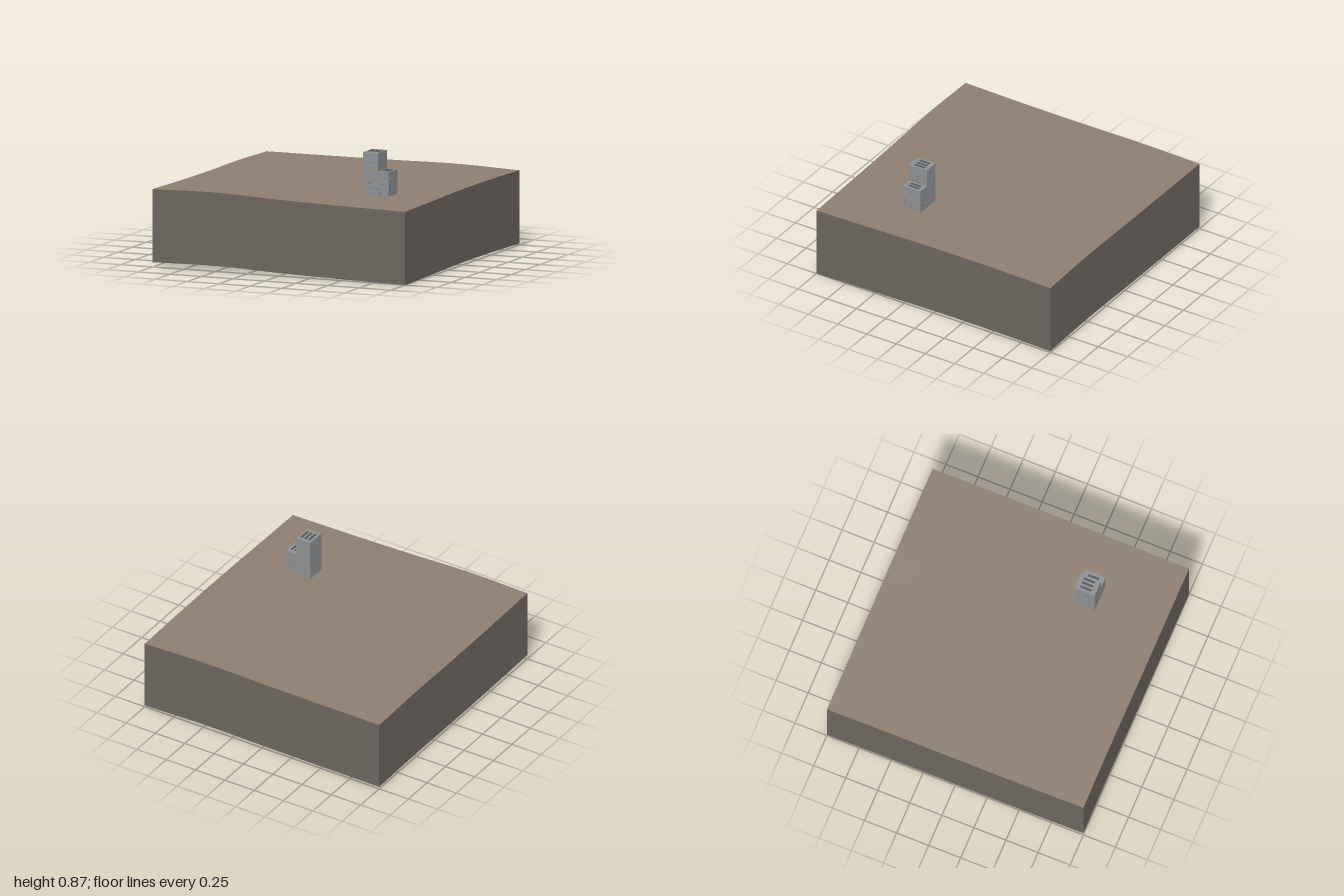
import * as THREE from 'three';

const mat = (name, color, side = THREE.FrontSide) => {
  const m = new THREE.MeshStandardMaterial({ color, side });
  m.name = name;
  return m;
};

const DEPTH = 0.535; // skirt height below the ground surface

// Sampled ground heights: rows run z = -1..1, columns x = -1..1
const HEIGHTS = [
  [0.552, 0.553, 0.556, 0.561, 0.546],
  [0.561, 0.558, 0.554, 0.557, 0.554],
  [0.558, 0.557, 0.553, 0.552, 0.554],
  [0.561, 0.560, 0.553, 0.547, 0.545],
  [0.570, 0.577, 0.558, 0.545, 0.536],
];

// Catmull-Rom interpolation along one row of samples
function spline(v, t) {
  const s = Math.min(Math.max((t + 1) * 2, 0), 4);
  const i = Math.min(Math.floor(s), 3), f = s - i;
  const b = v[i], c = v[i + 1];
  const a = i > 0 ? v[i - 1] : 2 * b - c;
  const d = i < 3 ? v[i + 2] : 2 * c - b;
  return b + 0.5 * f * (c - a + f * (2 * a - 5 * b + 4 * c - d + f * (3 * (b - c) + d - a)));
}
const groundHeight = (x, z) => spline(HEIGHTS.map((row) => spline(row, x)), z);

export function createModel() {
  const model = new THREE.Group();
  model.name = 'terrainTile';
  const soil = mat('soil', 0x8d7f71, THREE.DoubleSide);
  const earth = mat('earthSide', 0x6d6660, THREE.DoubleSide);
  const concrete = mat('concrete', 0x8d9194);
  const ventDark = mat('vent', 0x55585a);
  const litWindow = mat('litWindow', 0xc98a45);
  const dimWindow = mat('dimWindow', 0x5f7488);

  const add = (parent, name, geometry, material, x = 0, y = 0, z = 0) => {
    const mesh = new THREE.Mesh(geometry, material);
    mesh.name = name;
    mesh.position.set(x, y, z);
    parent.add(mesh);
    return mesh;
  };

  // Gently rolling ground
  const ground = new THREE.PlaneGeometry(2, 2, 32, 32).rotateX(-Math.PI / 2);
  const gp = ground.attributes.position;
  for (let i = 0; i < gp.count; i++) gp.setY(i, groundHeight(gp.getX(i), gp.getZ(i)));
  ground.computeVertexNormals();
  add(model, 'ground', ground, soil);

  // Four skirt walls, open underneath, following the ground edge
  ['front', 'left', 'back', 'right'].forEach((side, k) => {
    const wall = new THREE.PlaneGeometry(2, 1, 32, 1).translate(0, 0, 1).rotateY(k * Math.PI / 2);
    const p = wall.attributes.position;
    for (let i = 0; i < p.count; i++) {
      const h = groundHeight(p.getX(i), p.getZ(i));
      p.setY(i, p.getY(i) > 0 ? h : h - DEPTH);
    }
    add(model, side + 'Skirt', wall, earth);
  });

  // Small building made of two blocks
  let seed = 7;
  const random = () => (seed = (seed * 16807) % 2147483647) / 2147483647;
  const z0 = 0.34, z1 = 0.495, base = 0.54;
  const building = new THREE.Group();
  building.name = 'building';
  model.add(building);

  const pane = new THREE.BoxGeometry(0.009, 0.006, 0.002);
  const ROWS = [0.572, 0.603, 0.635, 0.68, 0.74, 0.79];

  // Row of window panes across one face
  function windows(name, from, to, y, place) {
    const n = Math.round((to - from) / 0.02);
    for (let i = 0; i < n; i++) {
      const material = random() < 0.6 ? litWindow : dimWindow;
      const mesh = add(building, name, pane, material);
      place(mesh, from + (to - from) * (i + 0.5) / n, y);
    }
  }

  function block(name, x0, x1, top, vents) {
    const cx = (x0 + x1) / 2, cz = (z0 + z1) / 2, w = x1 - x0, d = z1 - z0;
    add(building, name, new THREE.BoxGeometry(w, top - base, d), concrete, cx, (top + base) / 2, cz);
    // Roof vents
    for (const x of vents) {
      add(building, name + 'Vent', new THREE.BoxGeometry(0.015, 0.006, 0.085), ventDark, x, top + 0.001, 0.415);
    }
    for (const y of ROWS.filter((r) => r < top - 0.03)) {
      for (const z of [z0, z1]) {
        windows(name + 'Window', x0 + 0.006, x1 - 0.006, y, (m, x, h) => m.position.set(x, h, z));
      }
      for (const x of [x0, x1]) {
        if (name === 'tower' && x === x1 && y < 0.73) continue; // shared wall
        if (name === 'annex' && x === x0) continue;
        windows(name + 'Window', z0 + 0.006, z1 - 0.006, y, (m, z, h) => {
          m.position.set(x, h, z);
          m.rotation.y = Math.PI / 2;
        });
      }
    }
  }
  block('tower', 0.437, 0.556, 0.862, [0.465, 0.499, 0.531]);
  block('annex', 0.556, 0.64, 0.727, [0.581, 0.612]);

  return model;
}
